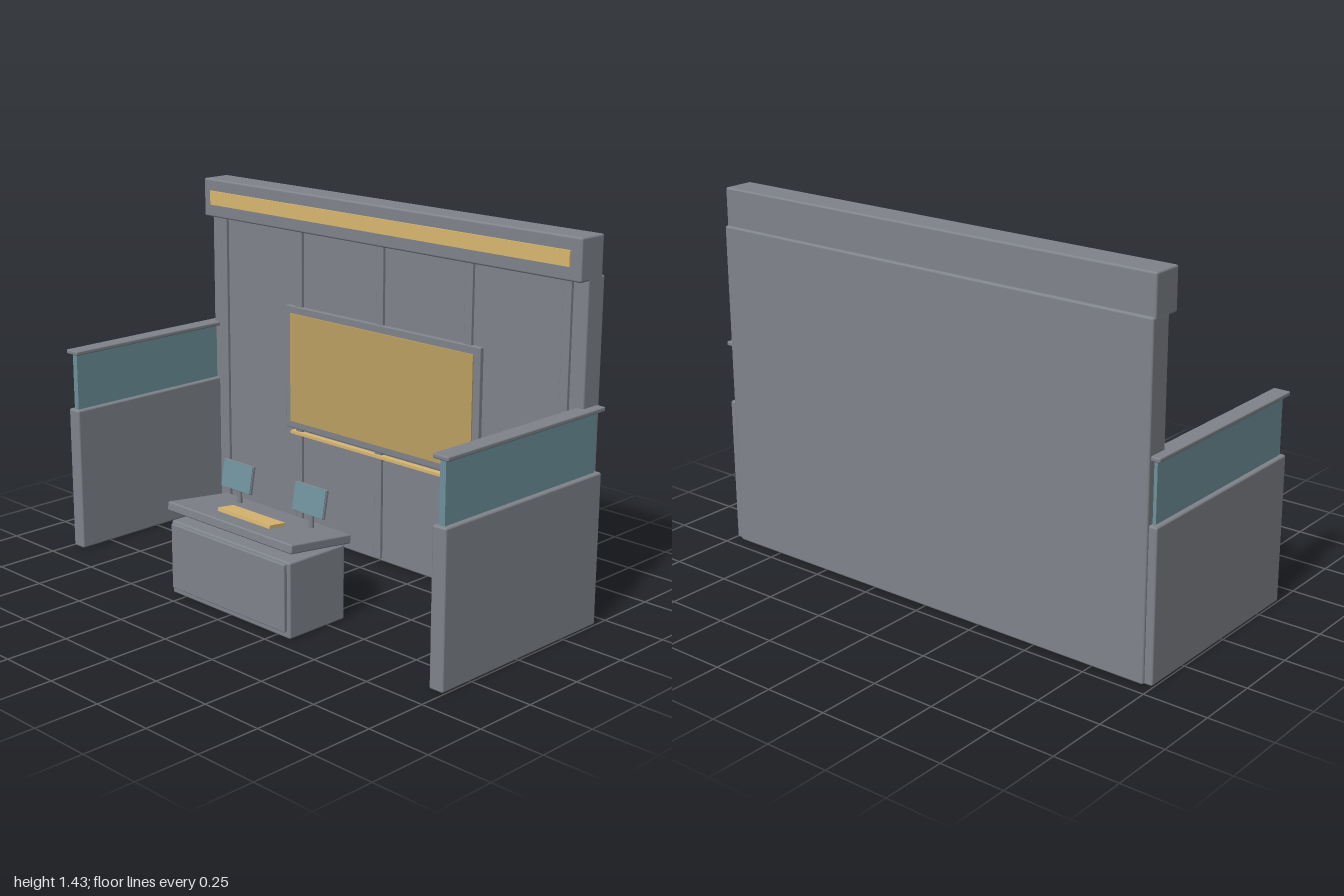
import * as THREE from 'three';
import { RoundedBoxGeometry } from 'three/addons/geometries/RoundedBoxGeometry.js';

const makeMaterial = (name, color) => {
  const m = new THREE.MeshStandardMaterial({ color });
  m.name = name;
  return m;
};

export function createModel() {
  const grey = makeMaterial('panel grey', 0x80848b);
  const teal = makeMaterial('glass teal', 0x6f919d);
  const gold = makeMaterial('bright gold', 0xdbb871);
  const amber = makeMaterial('screen amber', 0xbda062);

  const model = new THREE.Group();
  model.name = 'controlBooth';

  // Box given by its x, y and z ranges; r > 0 softens the edges
  function box(name, material, [x0, x1], [y0, y1], [z0, z1], r = 0, parent = model) {
    const size = [x1 - x0, y1 - y0, z1 - z0];
    const geometry = r ? new RoundedBoxGeometry(...size, 2, r) : new THREE.BoxGeometry(...size);
    const mesh = new THREE.Mesh(geometry, material);
    mesh.name = name;
    mesh.position.set((x0 + x1) / 2, (y0 + y1) / 2, (z0 + z1) / 2);
    parent.add(mesh);
    return mesh;
  }

  // Back wall with vertical ribs
  box('backWall', grey, [-0.965, 0.965], [0, 1.287], [-0.453, -0.359], 0.008);
  for (const x of [-0.885, -0.4425, 0, 0.4425, 0.885]) {
    box('wallRib', grey, [x - 0.018, x + 0.018], [0.015, 1.28], [-0.365, -0.346], 0.003);
  }

  // Header beam with its light strip
  box('header', grey, [-0.965, 0.965], [1.275, 1.432], [-0.44, -0.314], 0.008);
  box('headerStrip', gold, [-0.92, 0.92], [1.327, 1.384], [-0.314, -0.306]);

  // Wall display and the narrow ledge below it
  box('displayFrame', grey, [-0.51, 0.51], [0.455, 0.965], [-0.362, -0.341], 0.004);
  box('displayScreen', amber, [-0.48, 0.48], [0.485, 0.935], [-0.342, -0.335]);
  box('displayLedge', gold, [-0.48, 0.48], [0.433, 0.445], [-0.36, -0.335]);

  // Side walls: solid base, glass pane and cap rail
  for (const side of [-1, 1]) {
    const wall = new THREE.Group();
    wall.name = side > 0 ? 'leftWall' : 'rightWall';
    model.add(wall);
    const span = (a, b) => (side > 0 ? [a, b] : [-b, -a]);
    box('wallBase', grey, span(0.935, 0.996), [0, 0.58], [-0.443, 0.394], 0.008, wall);
    box('glassPane', teal, span(0.953, 0.978), [0.575, 0.808], [-0.422, 0.379], 0, wall);
    box('capRail', grey, span(0.932, 1), [0.805, 0.822], [-0.443, 0.394], 0.005, wall);
  }

  // Desk body with front panel
  box('deskBody', grey, [-0.32, 0.32], [0, 0.29], [0.165, 0.442], 0.008);
  box('deskFrontPanel', grey, [-0.305, 0.305], [0.027, 0.283], [0.438, 0.456], 0.004);

  // Tilted desktop carrying the keyboard
  const desktop = new THREE.Group();
  desktop.name = 'desktop';
  desktop.position.set(0, 0.327, 0.297);
  desktop.rotation.x = -0.12;
  model.add(desktop);
  box('desktopSlab', grey, [-0.334, 0.334], [-0.0175, 0.0175], [-0.151, 0.151], 0.006, desktop);
  box('keyboard', gold, [-0.14, 0.14], [0.015, 0.031], [-0.004, 0.074], 0, desktop);

  // Monitors leaning back on thin posts
  for (const x of [-0.193, 0.193]) {
    const post = new THREE.Mesh(new THREE.CylinderGeometry(0.01, 0.01, 0.1, 16), grey);
    post.name = 'monitorPost';
    post.position.set(x, 0.37, 0.21);
    model.add(post);
    const monitor = new THREE.Group();
    monitor.name = 'monitor';
    monitor.position.set(x, 0.44, 0.215);
    monitor.rotation.x = -0.18;
    model.add(monitor);
    box('monitorCase', grey, [-0.08, 0.08], [-0.054, 0.054], [-0.007, 0.005], 0.003, monitor);
    box('monitorScreen', teal, [-0.078, 0.078], [-0.052, 0.052], [0.004, 0.008], 0, monitor);
  }

  return model;
}
